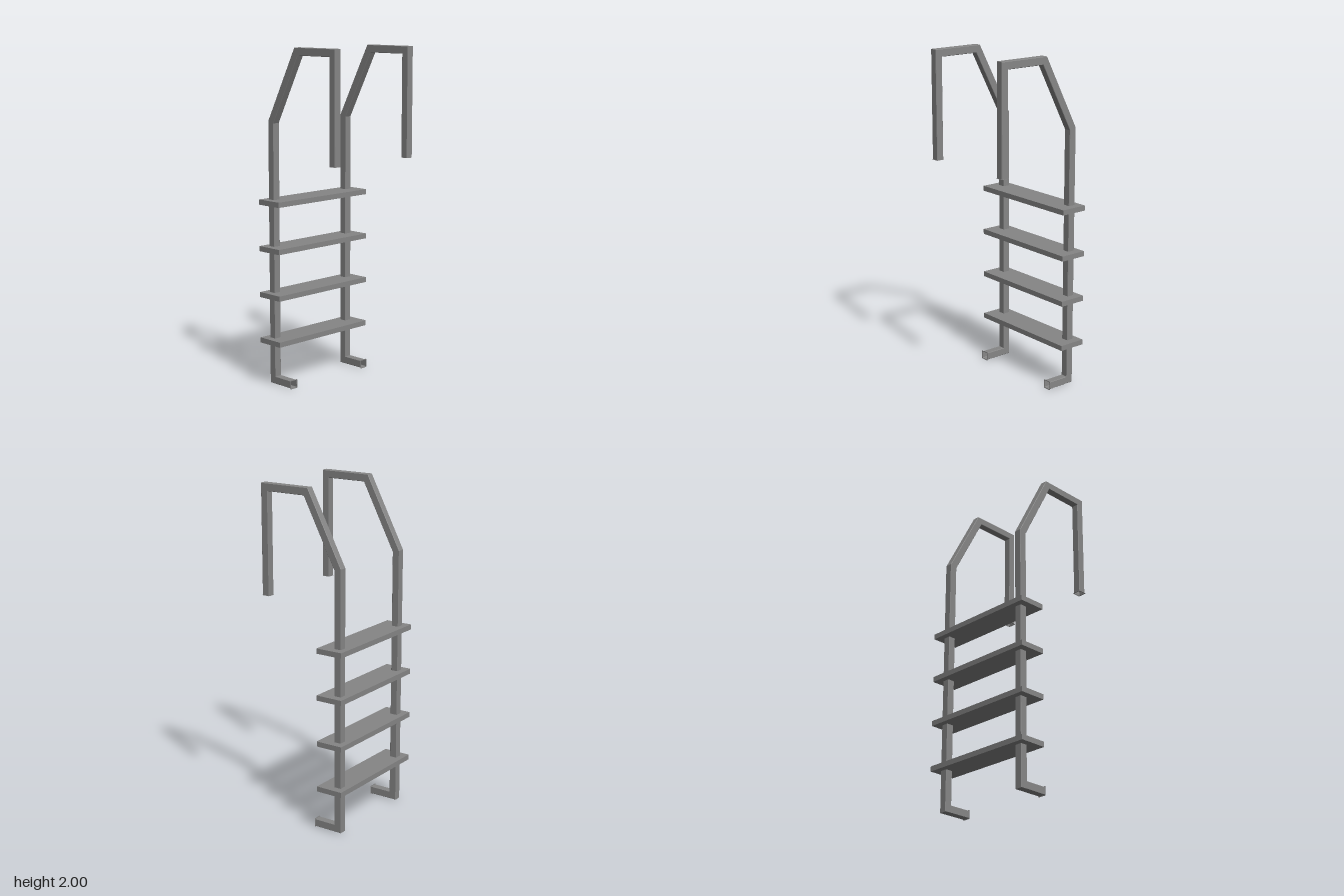
import * as THREE from 'three';

const HALF = 0.0225; // half width of the square tube
const LIP = 0.027; // half width of the lip at each open end

// Centre line of a rail as [z, y], from the front post over the top to the foot
const PATH = [
  [0.266, 1.352], [0.266, 1.9775], [-0.021, 1.9775],
  [-0.2355, 1.567], [-0.2355, 0.027], [-0.077, 0.027],
].map(([z, y]) => new THREE.Vector2(z, y));

// Square section with slightly eased corners, as [across, x]
function section(h) {
  const c = h * 0.9;
  return [[h, -c], [h, c], [c, h], [-c, h], [-h, c], [-h, -c], [-c, -h], [c, -h]];
}

// Mitred, open-ended square tube swept along the centre line
function railGeometry() {
  const last = PATH.length - 1;
  const rings = [];
  const addRing = (p, across, h) => rings.push(
    section(h).map(([a, x]) => [x, p.y + across.y * a, p.x + across.x * a]));
  PATH.forEach((p, i) => {
    const before = Math.max(i, 1);
    const after = Math.min(i, last - 1);
    const dirIn = PATH[before].clone().sub(PATH[before - 1]).normalize();
    const dirOut = PATH[after + 1].clone().sub(PATH[after]).normalize();
    const nIn = new THREE.Vector2(-dirIn.y, dirIn.x);
    const nOut = new THREE.Vector2(-dirOut.y, dirOut.x);
    const mitre = nIn.clone().add(nOut).normalize();
    mitre.divideScalar(mitre.dot(nIn));
    if (i === 0) addRing(p, mitre, LIP); // flared lip under the post
    addRing(p, mitre, HALF);
    if (i === last) addRing(p, mitre, LIP); // flared lip at the foot
  });

  const pos = [];
  for (let r = 0; r < rings.length - 1; r++) {
    const A = rings[r], B = rings[r + 1], n = A.length;
    for (let k = 0; k < n; k++) {
      const m = (k + 1) % n;
      pos.push(...A[k], ...A[m], ...B[m], ...A[k], ...B[m], ...B[k]);
    }
  }
  const geo = new THREE.BufferGeometry();
  geo.setAttribute('position', new THREE.Float32BufferAttribute(pos, 3));
  geo.computeVertexNormals();
  return geo;
}

export function createModel() {
  const model = new THREE.Group();
  model.name = 'poolLadder';
  const treadGrey = new THREE.MeshStandardMaterial({ color: 0x868686 });
  const tubeGrey = new THREE.MeshStandardMaterial({
    color: 0x868686, flatShading: true, side: THREE.DoubleSide,
  });

  // Pair of handrails
  const railGeo = railGeometry();
  for (const [name, x] of [['leftRail', 0.2945], ['rightRail', -0.299]]) {
    const rail = new THREE.Mesh(railGeo, tubeGrey);
    rail.name = name;
    rail.position.x = x;
    model.add(rail);
  }

  // Four flat treads
  const treadGeo = new THREE.BoxGeometry(0.73, 0.031, 0.168);
  for (let i = 0; i < 4; i++) {
    const tread = new THREE.Mesh(treadGeo, treadGrey);
    tread.name = `tread${i + 1}`;
    tread.position.set(0, 0.268 + i * 0.277, -0.2095);
    model.add(tread);
  }
  return model;
}
